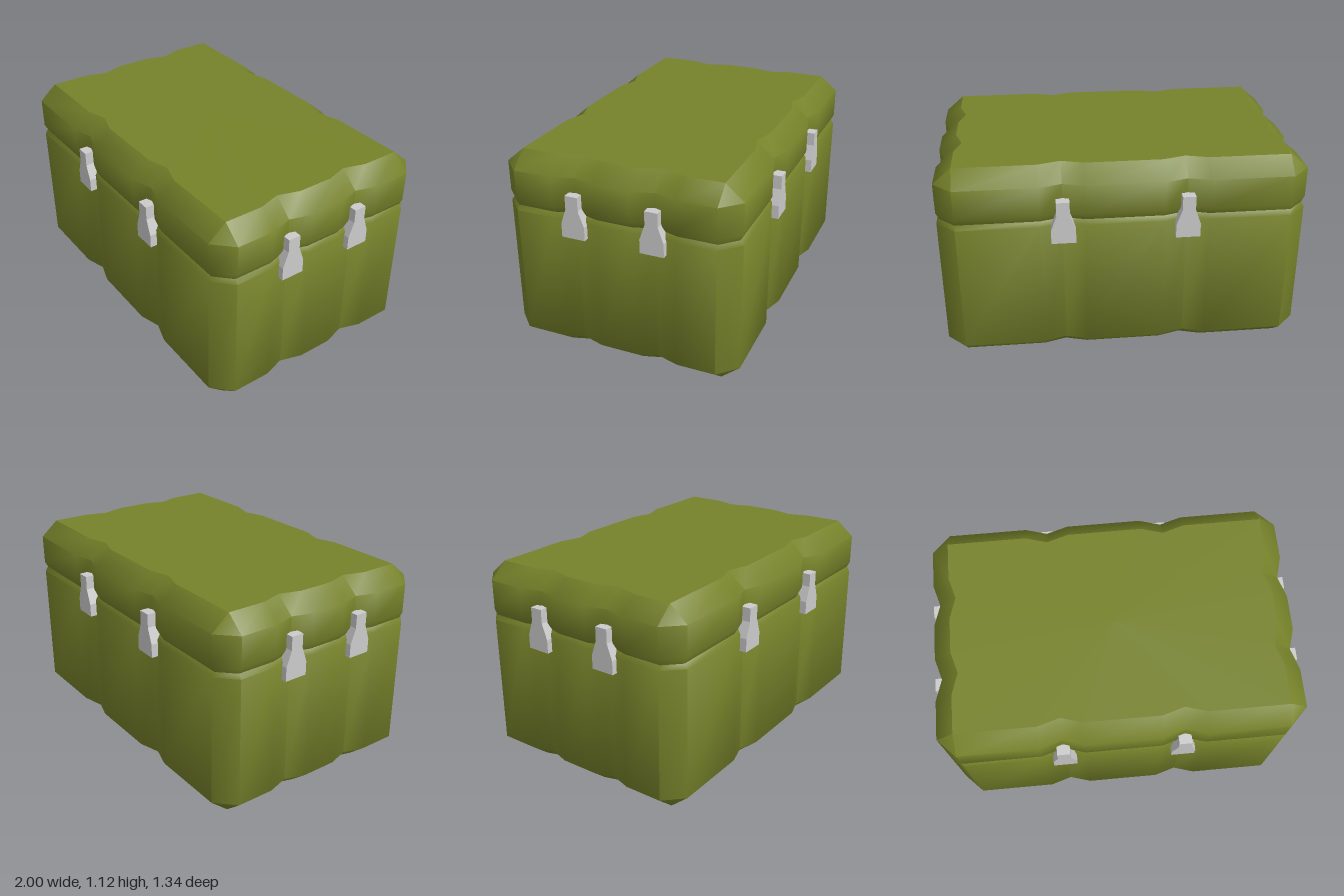
import * as THREE from 'three';
import { toCreasedNormals, mergeGeometries } from 'three/addons/utils/BufferGeometryUtils.js';

const HX = 0.985, HZ = 0.65, SEAM = 0.83;  // half sizes and seam height
const BEVEL = 0.1, DENT = 0.036, DENT_HALF = 0.12;
const DENT_X = 0.328, DENT_Z = 0.218;      // dent positions on long and short sides

// One side of the outline, running along u, pushed out by v: [u, v] points
function sideProfile(halfLength, out, dent, inset) {
  const v = out - inset;
  const points = [[-(halfLength - BEVEL), v]];
  for (const c of [-dent, dent]) {
    points.push([c - DENT_HALF, v], [c, v - DENT], [c + DENT_HALF, v]);
  }
  points.push([halfLength - BEVEL, v]);
  return points;
}

// Closed horizontal outline, counter-clockwise seen from above
function outline(y, inset) {
  const long = sideProfile(HX, HZ, DENT_X, inset);
  const short = sideProfile(HZ, HX, DENT_Z, inset);
  return [
    ...long.map(([u, v]) => new THREE.Vector3(u, y, v)),
    ...short.map(([u, v]) => new THREE.Vector3(v, y, -u)),
    ...long.map(([u, v]) => new THREE.Vector3(-u, y, -v)),
    ...short.map(([u, v]) => new THREE.Vector3(-v, y, u)),
  ];
}

function trianglesToGeometry(triangles) {
  const solid = triangles.filter((t) => new THREE.Triangle(...t).getArea() > 1e-7);
  return new THREE.BufferGeometry().setFromPoints(solid.flat());
}

// Walls through [y, inset] levels, plus flat cap at one end
function shell(levels, capTop) {
  const rings = levels.map(([y, inset]) => outline(y, inset));
  const n = rings[0].length;
  const walls = [], cap = [];
  for (let r = 0; r < rings.length - 1; r++) {
    for (let i = 0; i < n; i++) {
      const j = (i + 1) % n;
      const [a, b, c, d] = [rings[r][i], rings[r][j], rings[r + 1][j], rings[r + 1][i]];
      walls.push([a, b, c], [a, c, d]);
    }
  }
  const rim = capTop ? rings[rings.length - 1] : rings[0];
  const centre = new THREE.Vector3(0, rim[0].y, 0);
  for (let i = 0; i < n; i++) {
    const j = (i + 1) % n;
    cap.push(capTop ? [centre, rim[i], rim[j]] : [centre, rim[j], rim[i]]);
  }
  const wallGeometry = toCreasedNormals(trianglesToGeometry(walls), 0.95);
  const capGeometry = trianglesToGeometry(cap);
  capGeometry.computeVertexNormals();
  return mergeGeometries([wallGeometry, capGeometry]);
}

// Latch plate: wide foot tapering to a narrow tongue
function latchGeometry() {
  const half = [[0.065, 0.715], [0.065, 0.79], [0.035, 0.875], [0.035, 0.95]];
  const points = [...half, ...half.map(([x, y]) => [-x, y]).reverse()];
  const shape = new THREE.Shape(points.map(([x, y]) => new THREE.Vector2(x, y)));
  return new THREE.ExtrudeGeometry(shape, { depth: 0.08, bevelEnabled: false });
}

export function createModel() {
  const model = new THREE.Group();
  model.name = 'storageCase';
  const olive = new THREE.MeshStandardMaterial({ color: 0x76822a });
  const grey = new THREE.MeshStandardMaterial({ color: 0xcccccc });

  const base = new THREE.Mesh(
    shell([[0, BEVEL], [0.085, 0], [0.805, 0], [SEAM, 0.018]], false), olive);
  base.name = 'base';
  const lid = new THREE.Mesh(
    shell([[SEAM, 0.018], [0.865, 0], [1.03, 0], [1.115, BEVEL]], true), olive);
  lid.name = 'lid';
  model.add(base, lid);

  // Two latches on each of the four sides, seated in the dents
  const latches = new THREE.Group();
  latches.name = 'latches';
  const geometry = latchGeometry();
  for (let side = 0; side < 4; side++) {
    const isLong = side % 2 === 0;
    const group = new THREE.Group();
    group.name = ['frontLatches', 'leftLatches', 'backLatches', 'rightLatches'][side];
    group.rotation.y = side * Math.PI / 2;
    for (const s of [-1, 1]) {
      const latch = new THREE.Mesh(geometry, grey);
      latch.name = 'latch';
      latch.position.set(s * (isLong ? DENT_X : DENT_Z), 0, (isLong ? 0.672 : 1) - 0.08);
      group.add(latch);
    }
    latches.add(group);
  }
  model.add(latches);
  return model;
}
